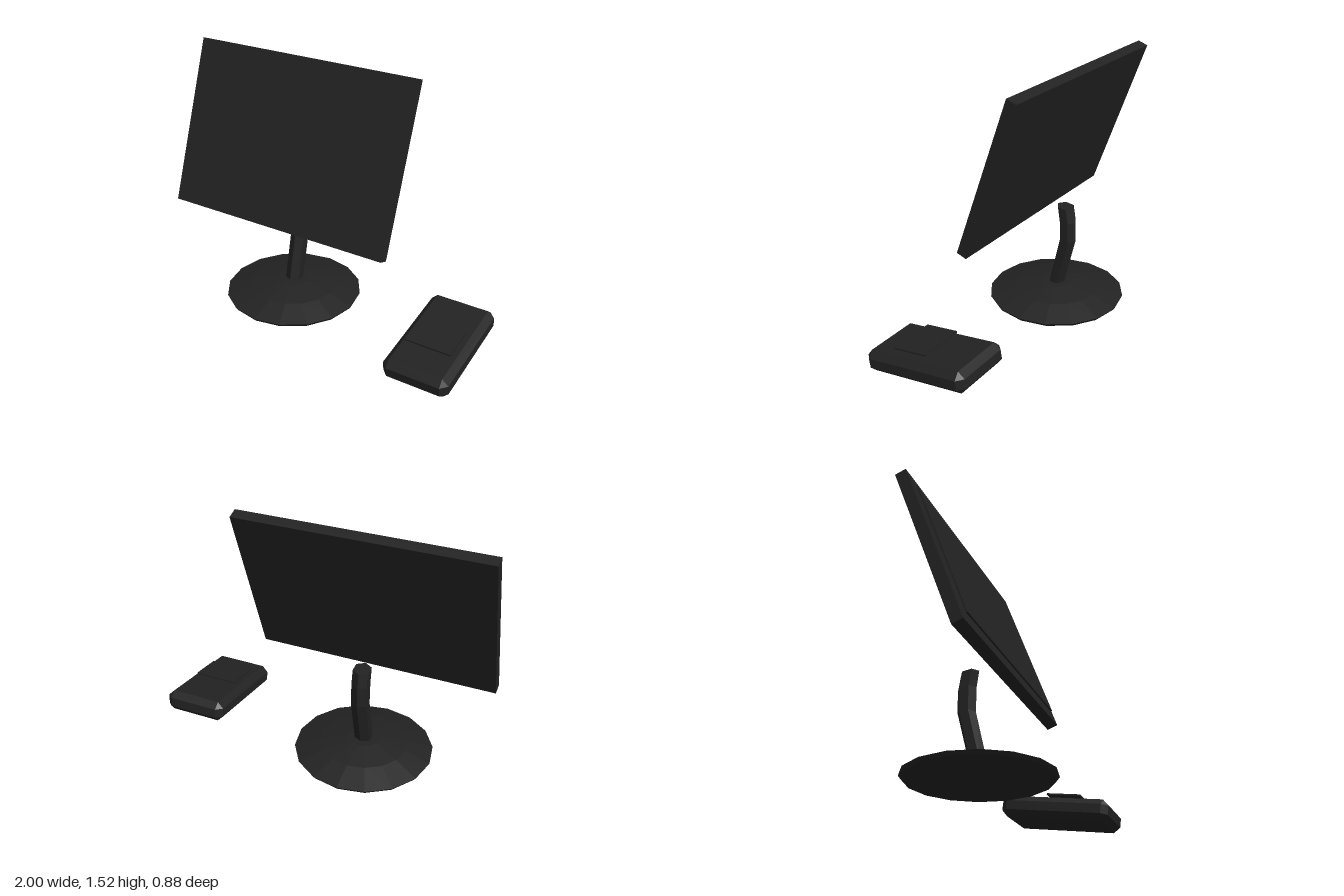
import * as THREE from 'three';
import { ConvexGeometry } from 'three/addons/geometries/ConvexGeometry.js';

const black = new THREE.MeshStandardMaterial({ color: 0x222222, flatShading: true });
black.name = 'matte black plastic';

function part(name, geometry, parent, x = 0, y = 0, z = 0) {
  const mesh = new THREE.Mesh(geometry, black);
  mesh.name = name;
  mesh.position.set(x, y, z);
  parent.add(mesh);
  return mesh;
}

function tilted(name, parent, x, y, z, angle) {
  const group = new THREE.Group();
  group.name = name;
  group.position.set(x, y, z);
  group.rotation.x = angle;
  parent.add(group);
  return group;
}

// Box with every edge cut by a single flat bevel
function bevelledBox(w, h, d, c) {
  const points = [];
  const signs = [-1, 1];
  for (const sx of signs) for (const sy of signs) for (const sz of signs) {
    for (let axis = 0; axis < 3; axis++) {
      const half = [w / 2, h / 2, d / 2].map((v, i) => (i === axis ? v : v - c));
      points.push(new THREE.Vector3(sx * half[0], sy * half[1], sz * half[2]));
    }
  }
  return new ConvexGeometry(points);
}

// Six-sided column bent through stations of [y, z, tilt], bottom to top
function bentColumn(radius, stations) {
  const n = stations.length - 1;
  const geometry = new THREE.CylinderGeometry(radius, radius, 1, 6, n);
  const pos = geometry.attributes.position;
  for (let i = 0; i < pos.count; i++) {
    const [y, z, tilt] = stations[Math.round((pos.getY(i) + 0.5) * n)];
    const dz = pos.getZ(i);
    pos.setXYZ(i, pos.getX(i), y - dz * Math.sin(tilt), z + dz * Math.cos(tilt));
  }
  geometry.computeVertexNormals();
  return geometry;
}

export function createModel() {
  const model = new THREE.Group();
  model.name = 'monitorAndMouse';
  const cx = -0.27;

  // Display leaning back, with the screen plate just in front of it
  const display = tilted('display', model, cx, 1.037, -0.0125, -0.349);
  part('panel', new THREE.BoxGeometry(1.46, 1.015, 0.065), display);
  part('screen', new THREE.BoxGeometry(1.32, 0.87, 0.009), display, 0, -0.003, 0.043);

  // Bent neck
  part('neck', bentColumn(0.055, [
    [0.09, -0.018, 0.24], [0.42, -0.097, 0.12], [0.555, -0.095, -0.07], [0.647, -0.08, -0.15],
  ]), model, cx);

  // Shallow domed foot
  const profile = [[0, 0.03], [0.405, 0.03], [0.42, 0.05], [0.265, 0.096], [0.1, 0.125], [0, 0.127]];
  part('foot', new THREE.LatheGeometry(profile.map(([r, y]) => new THREE.Vector2(r, y)), 16),
    model, cx, 0, -0.02);

  // Mouse sloping down to the front, with a raised button plate
  const mouse = tilted('mouse', model, 0.803, 0.112, 0.101, 0.142);
  part('mouseBody', bevelledBox(0.392, 0.13, 0.673, 0.037), mouse);
  part('buttonPlate', new THREE.BoxGeometry(0.277, 0.009, 0.212), mouse, -0.003, 0.0907, 0.042);

  return model;
}
